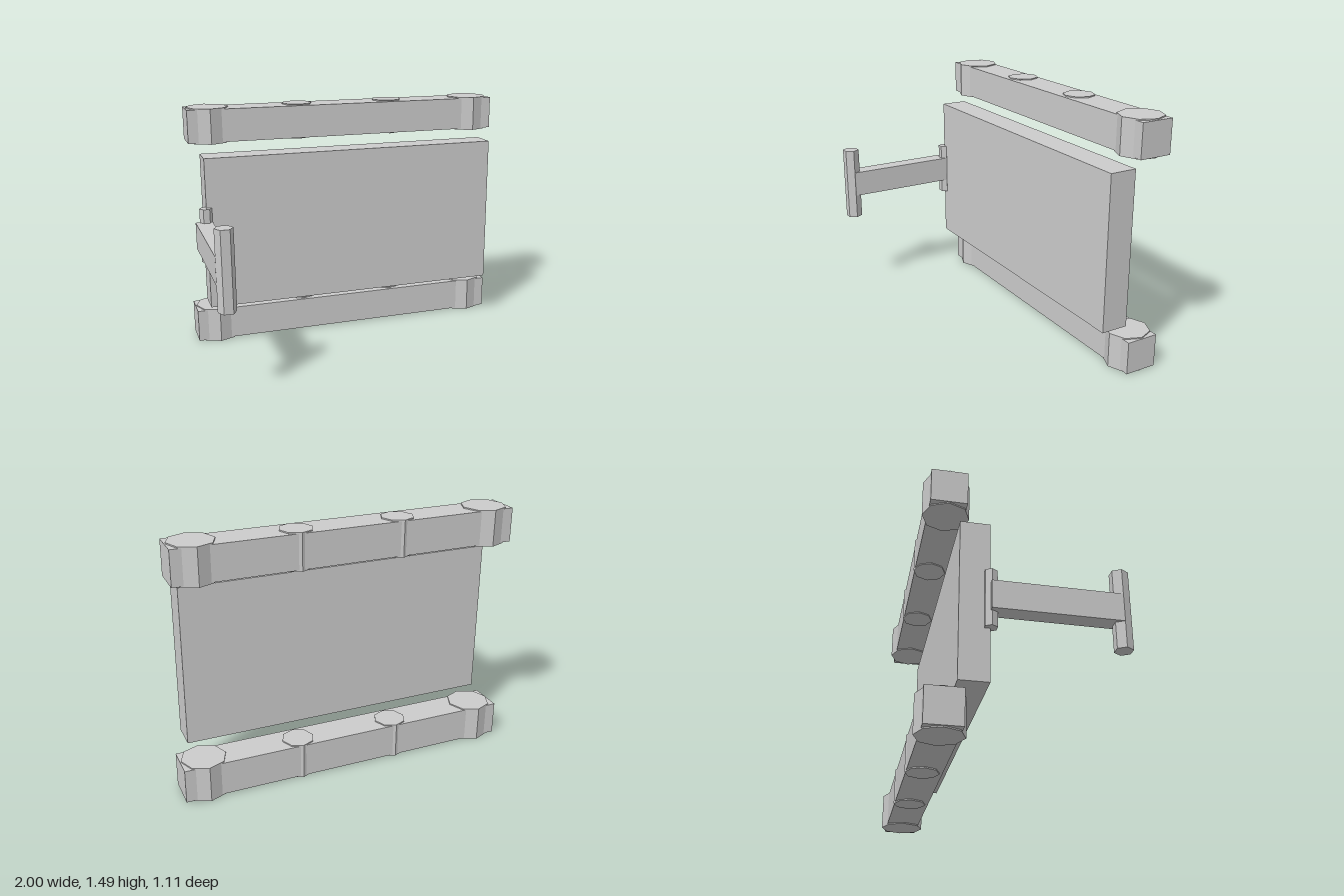
import * as THREE from 'three';

const material = new THREE.MeshStandardMaterial({ color: 0xcccccc, flatShading: true });

function add(parent, name, geometry, x, y, z) {
  const mesh = new THREE.Mesh(geometry, material);
  mesh.name = name;
  mesh.position.set(x, y, z);
  parent.add(mesh);
  return mesh;
}

// Upright prism with the given number of sides
const prism = (radius, height, sides) => new THREE.CylinderGeometry(radius, radius, height, sides);

// Horizontal beam with octagonal bosses along it
function createBeam(name, y) {
  const beam = new THREE.Group();
  beam.name = name;
  add(beam, 'beamBar', new THREE.BoxGeometry(2, 0.2, 0.2), 0, 0, -0.425);
  for (const side of [-1, 1]) {
    add(beam, 'endBoss', prism(0.13, 0.214, 8), side * 0.865, 0, -0.425);
    add(beam, 'middleBoss', prism(0.095, 0.214, 8), side * 0.3, 0, -0.437);
  }
  beam.position.y = y;
  return beam;
}

// Arm reaching forward from the panel edge, with a hexagonal post at each end
function createHandle() {
  const handle = new THREE.Group();
  handle.name = 'handle';
  add(handle, 'handleArm', new THREE.BoxGeometry(0.1, 0.162, 0.705), -0.95, 0.743, 0.158);
  add(handle, 'gripPost', prism(0.052, 0.466, 6), -0.948, 0.743, 0.51).rotation.y = Math.PI / 6;
  add(handle, 'hingePost', prism(0.038, 0.332, 6), -0.937, 0.743, -0.189).rotation.y = Math.PI / 6;
  return handle;
}

export function createModel() {
  const model = new THREE.Group();
  model.name = 'panelWithBeams';
  model.add(createBeam('lowerBeam', 0.107), createBeam('upperBeam', 1.378));
  add(model, 'panel', new THREE.BoxGeometry(1.866, 0.933, 0.165), 0, 0.743, -0.272);
  model.add(createHandle());
  return model;
}
